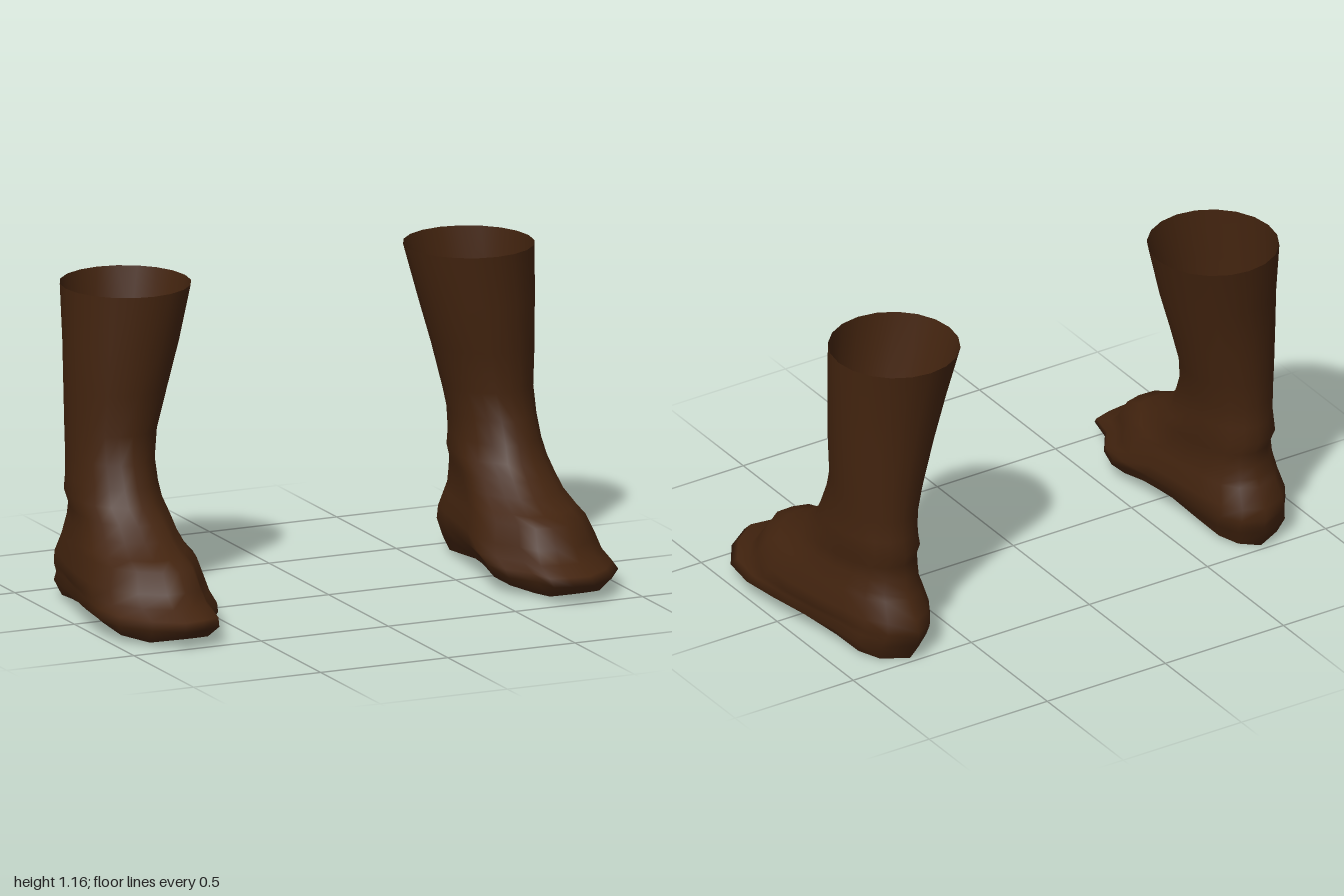
import * as THREE from 'three';

const N = 20;

// Foot outline from heel, along the outer side to the toe, back along the inner side (x, z in 0..1)
const FOOT = [
  [.43, 0], [.68, .05], [.79, .13], [.83, .26], [.90, .40], [.96, .55], [1, .69], [.96, .82], [.79, .93], [.57, 1],
  [.40, .99], [.25, .97], [.20, .87], [.06, .78], [0, .69], [.06, .57], [.11, .42], [.14, .26], [.17, .13], [.26, .05],
];

// Levels from the cuff down: y, back z, front z, inner x, outer x, blend from oval to foot outline
const LEVELS = [
  [1.165, -.505, -.025, .44, .91, 0],
  [.97, -.47, -.035, .49, .908, 0],
  [.80, -.455, -.045, .54, .905, 0],
  [.65, -.443, -.06, .58, .90, 0],
  [.55, -.44, -.035, .60, .90, .05],
  [.47, -.44, 0, .60, .905, .1],
  [.41, -.455, .03, .592, .915, .25],
  [.36, -.435, .10, .588, .915, .4],
  [.31, -.443, .16, .582, .925, .5],
  [.265, -.455, .245, .572, .945, .55],
  [.24, -.47, .32, .56, .955, .6],
  [.17, -.51, .365, .54, .98, .7],
  [.125, -.52, .41, .535, .985, .8],
  [.098, -.515, .495, .54, .985, 1],
  [.07, -.51, .52, .545, 1, 1],
];

// Height of the sole along the foot: raised arch, heel and ball touching the ground
const SOLE = [[-.55, .003], [-.47, .003], [-.05, .053], [.05, .053], [.17, .043], [.37, .008], [.44, .025], [.55, .06]];
function soleY(z) {
  const k = Math.max(1, SOLE.findIndex(p => p[0] >= z));
  const [a, b] = [SOLE[k - 1], SOLE[k]];
  return a[1] + (b[1] - a[1]) * (z - a[0]) / (b[0] - a[0]);
}

function ring([y, back, front, inner, outer, blend], side) {
  return FOOT.map(([fx, fz], i) => {
    const t = i / N * Math.PI * 2;
    const x = THREE.MathUtils.lerp(.5 + .5 * Math.sin(t), fx, blend);
    const z = THREE.MathUtils.lerp(.5 - .5 * Math.cos(t), fz, blend);
    return [side * (inner + (outer - inner) * x), y, back + (front - back) * z];
  });
}

function makeGeometry(points, faces, side) {
  const g = new THREE.BufferGeometry();
  g.setAttribute('position', new THREE.Float32BufferAttribute(points.flat(), 3));
  g.setIndex(faces.flatMap(([a, b, c]) => side > 0 ? [a, b, c] : [a, c, b]));
  g.computeVertexNormals();
  return g;
}

function boot(side, material) {
  const group = new THREE.Group();
  group.name = side > 0 ? 'leftBoot' : 'rightBoot';

  // Bottom edge, slightly tucked in and following the arch
  const edge = ring([0, -.475, .45, .575, .965, 1], side).map(([x, , z]) => [x, soleY(z), z]);
  const rings = [...LEVELS.map(l => ring(l, side)), edge];

  // Shaft and foot shell, open at the cuff
  const faces = [];
  for (let r = 0; r < rings.length - 1; r++) {
    for (let i = 0; i < N; i++) {
      const j = (i + 1) % N;
      const a = r * N + i, b = r * N + j, c = a + N, d = b + N;
      faces.push([a, b, c], [b, d, c]);
    }
  }
  const upper = new THREE.Mesh(makeGeometry(rings.flat(), faces, side), material);
  upper.name = 'upper';

  // Sole closes the bottom with strips across the foot
  const strips = [];
  for (let i = 0; i < N / 2; i++) {
    const p = i, p1 = i + 1, q = (N - i) % N, q1 = N - i - 1;
    if (p !== q) strips.push([p, p1, q]);
    if (p1 !== q1) strips.push([p1, q1, q]);
  }
  const sole = new THREE.Mesh(makeGeometry(edge, strips, side), material);
  sole.name = 'sole';

  group.add(upper, sole);
  return group;
}

export function createModel() {
  const leather = new THREE.MeshStandardMaterial({ color: 0x43240f, side: THREE.DoubleSide });
  leather.name = 'dark brown leather';
  const model = new THREE.Group();
  model.name = 'boots';
  for (const side of [1, -1]) model.add(boot(side, leather));
  return model;
}
